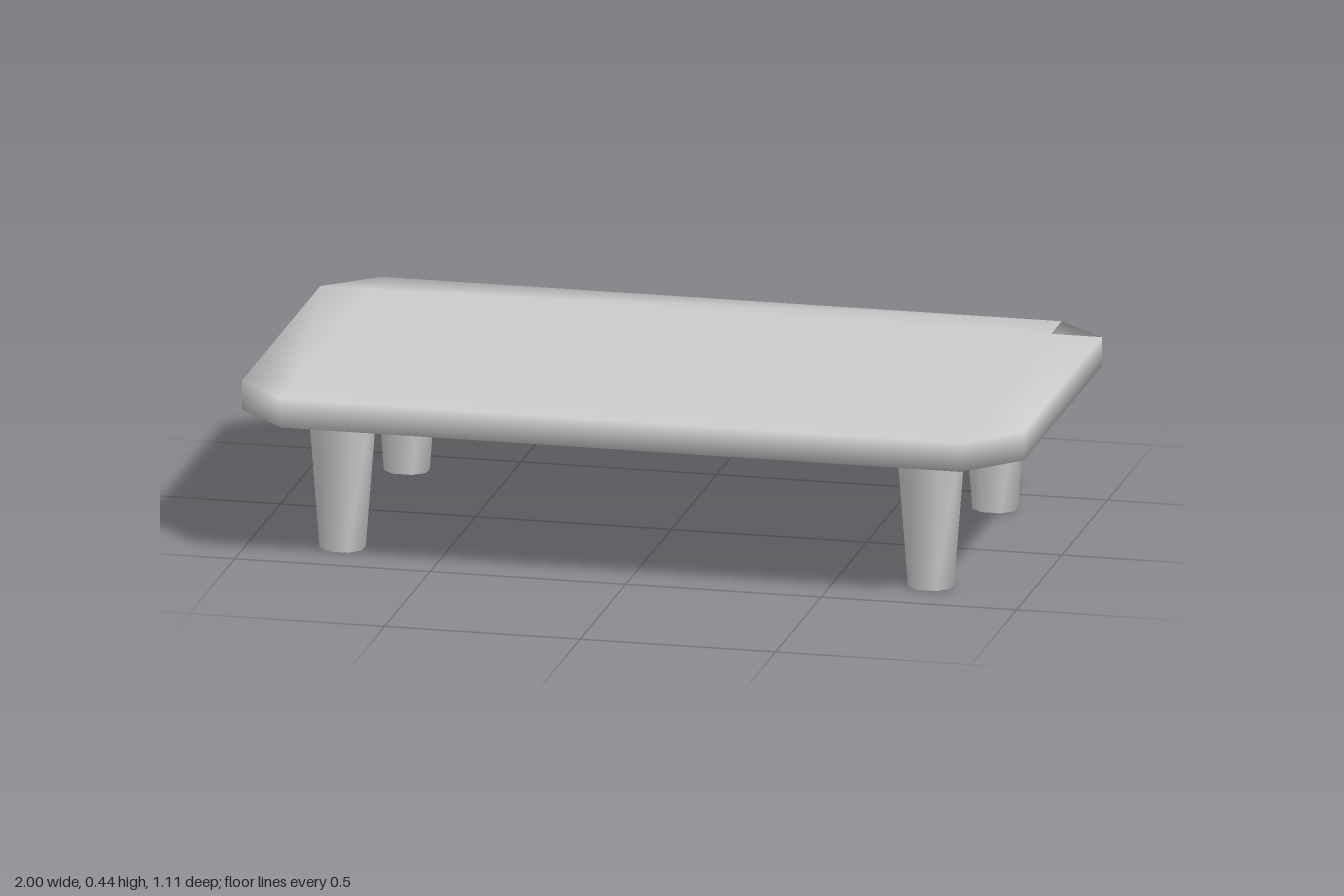
import * as THREE from 'three';
import { mergeVertices } from 'three/addons/utils/BufferGeometryUtils.js';

// Rectangle with cut corners, counter-clockwise from above: [x, z] pairs
function octagon(x0, x1, z0, z1, cx, czBack, czFront = czBack) {
  return [
    [x1, z1 - czFront], [x1, z0 + czBack], [x1 - cx, z0], [x0 + cx, z0],
    [x0, z0 + czBack], [x0, z1 - czFront], [x0 + cx, z1], [x1 - cx, z1],
  ];
}

// Joins rings from the underside upwards; shared corners give soft shading
function loft(rings, { capTop = true, skip = () => false } = {}) {
  const n = 8, pos = [], idx = [];
  rings.forEach(({ y, pts }) => pts.forEach(([x, z]) => pos.push(x, y, z)));
  for (let r = 0; r < rings.length - 1; r++) {
    for (let j = 0; j < n; j++) {
      if (skip(r, j)) continue;
      const a = r * n + j, b = r * n + (j + 1) % n;
      idx.push(a, b, b + n, a, b + n, a + n);
    }
  }
  const top = (rings.length - 1) * n;
  for (let j = 1; j < n - 1; j++) {
    idx.push(0, j + 1, j);
    if (capTop) idx.push(top, top + j, top + j + 1);
  }
  let geo = new THREE.BufferGeometry();
  geo.setAttribute('position', new THREE.Float32BufferAttribute(pos, 3));
  geo.setIndex(idx);
  geo = mergeVertices(geo, 1e-4);
  geo.computeVertexNormals();
  return geo;
}

export function createModel() {
  const group = new THREE.Group();
  const material = new THREE.MeshStandardMaterial({ color: 0xcccccc, side: THREE.DoubleSide });
  const add = (name, geo) => {
    const mesh = new THREE.Mesh(geo, material);
    mesh.name = name;
    group.add(mesh);
  };

  // Tabletop: cut-corner slab with an inner rectangle on both flat faces
  const low = 0.365, high = 0.44;
  const outer = octagon(-1, 1, -0.555, 0.555, 0.13, 0.115, 0.135);
  const inner = outer.map(([x, z]) => [
    THREE.MathUtils.clamp(x, -0.87, 0.87),
    THREE.MathUtils.clamp(z, -0.44, 0.42),
  ]);
  add('tabletop', loft([
    { y: low, pts: inner },
    { y: low, pts: outer },
    { y: high, pts: outer },
    { y: high, pts: inner },
  ], { skip: (r, j) => r === 2 && j === 1 })); // back left corner is open on top

  // Tapered legs with cut corners
  const legs = [
    ['frontLeftLeg', 0.743, 0.335], ['frontRightLeg', -0.762, 0.335],
    ['backLeftLeg', 0.743, -0.37], ['backRightLeg', -0.762, -0.37],
  ];
  for (const [name, x, z] of legs) {
    const ring = (y, hx, hz) => ({
      y, pts: octagon(x - hx, x + hx, z - hz, z + hz, hx * 0.55, hz * 0.55),
    });
    const back = z < 0;
    add(name, loft([
      ring(0, 0.054, back ? 0.045 : 0.049),
      ring(low, 0.08, back ? 0.066 : 0.075),
    ], { capTop: false }));
  }
  return group;
}
